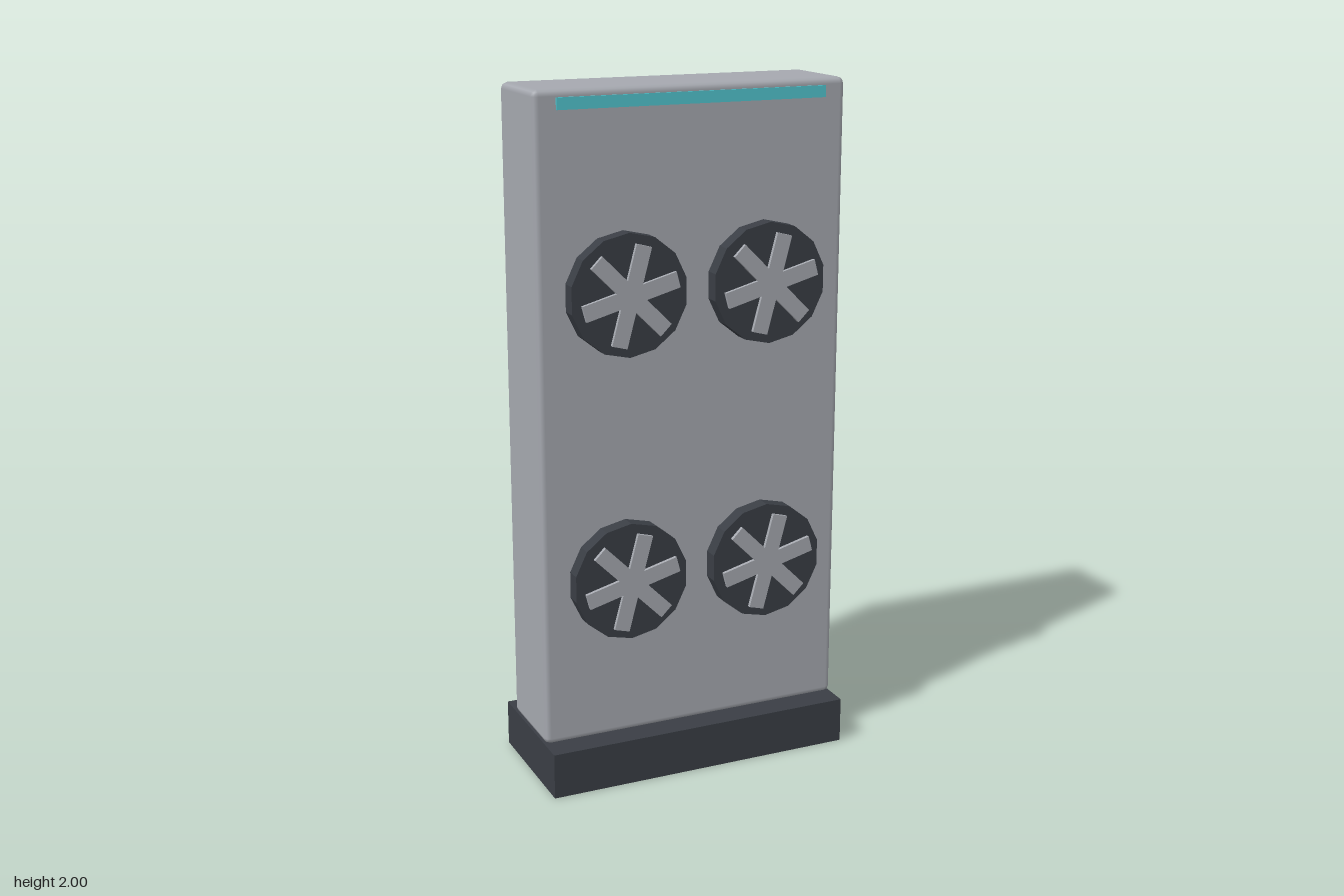
import * as THREE from 'three';
import { RoundedBoxGeometry } from 'three/addons/geometries/RoundedBoxGeometry.js';

const mat = (color, flatShading = false) => new THREE.MeshStandardMaterial({ color, flatShading });

function add(parent, name, geometry, material, x = 0, y = 0, z = 0) {
  const mesh = new THREE.Mesh(geometry, material);
  mesh.name = name;
  mesh.position.set(x, y, z);
  parent.add(mesh);
  return mesh;
}

// Six straight blades merged into one star outline
function bladeGeometry(count, length, width, depth) {
  const points = [];
  const half = width / 2;
  const step = (Math.PI * 2) / count;
  const notch = half / Math.sin(step / 2);
  for (let i = 0; i < count; i++) {
    const a = Math.PI / 12 + i * step;
    const dir = new THREE.Vector2(Math.cos(a), Math.sin(a));
    const side = new THREE.Vector2(-dir.y, dir.x);
    points.push(
      dir.clone().multiplyScalar(length).addScaledVector(side, -half),
      dir.clone().multiplyScalar(length).addScaledVector(side, half),
      new THREE.Vector2(Math.cos(a + step / 2), Math.sin(a + step / 2)).multiplyScalar(notch)
    );
  }
  return new THREE.ExtrudeGeometry(new THREE.Shape(points), { depth, bevelEnabled: false });
}

export function createModel() {
  const model = new THREE.Group();
  model.name = 'fanCabinet';

  const grey = mat(0xa6a9b0);
  const dark = mat(0x3a3e45);
  const darkFaceted = mat(0x3a3e45, true);
  const cyan = mat(0x52c6d0);

  // Plinth and cabinet
  add(model, 'base', new THREE.BoxGeometry(0.93, 0.135, 0.4), dark, 0, 0.0675, 0);
  add(model, 'cabinet', new RoundedBoxGeometry(0.93, 1.865, 0.266, 1, 0.018), grey, 0, 1.0675, 0);

  // Light strip near the top of the front
  add(model, 'lightStrip', new THREE.BoxGeometry(0.8, 0.033, 0.02), cyan, 0, 1.963, 0.128);

  // Four fans: disc housing, hub and blades
  const discGeometry = new THREE.CylinderGeometry(0.173, 0.173, 0.06, 14).rotateX(Math.PI / 2);
  const hubGeometry = new THREE.CylinderGeometry(0.043, 0.043, 0.02, 14).rotateX(Math.PI / 2);
  const blades = bladeGeometry(6, 0.143, 0.046, 0.011);
  for (const y of [0.617, 1.443]) {
    for (const x of [-0.213, 0.213]) {
      const fan = new THREE.Group();
      fan.name = 'fan';
      fan.position.set(x, y, 0);
      add(fan, 'fanHousing', discGeometry, darkFaceted, 0, 0, 0.149);
      add(fan, 'fanHub', hubGeometry, grey, 0, 0, 0.18);
      add(fan, 'fanBlades', blades, grey, 0, 0, 0.184);
      model.add(fan);
    }
  }
  return model;
}
